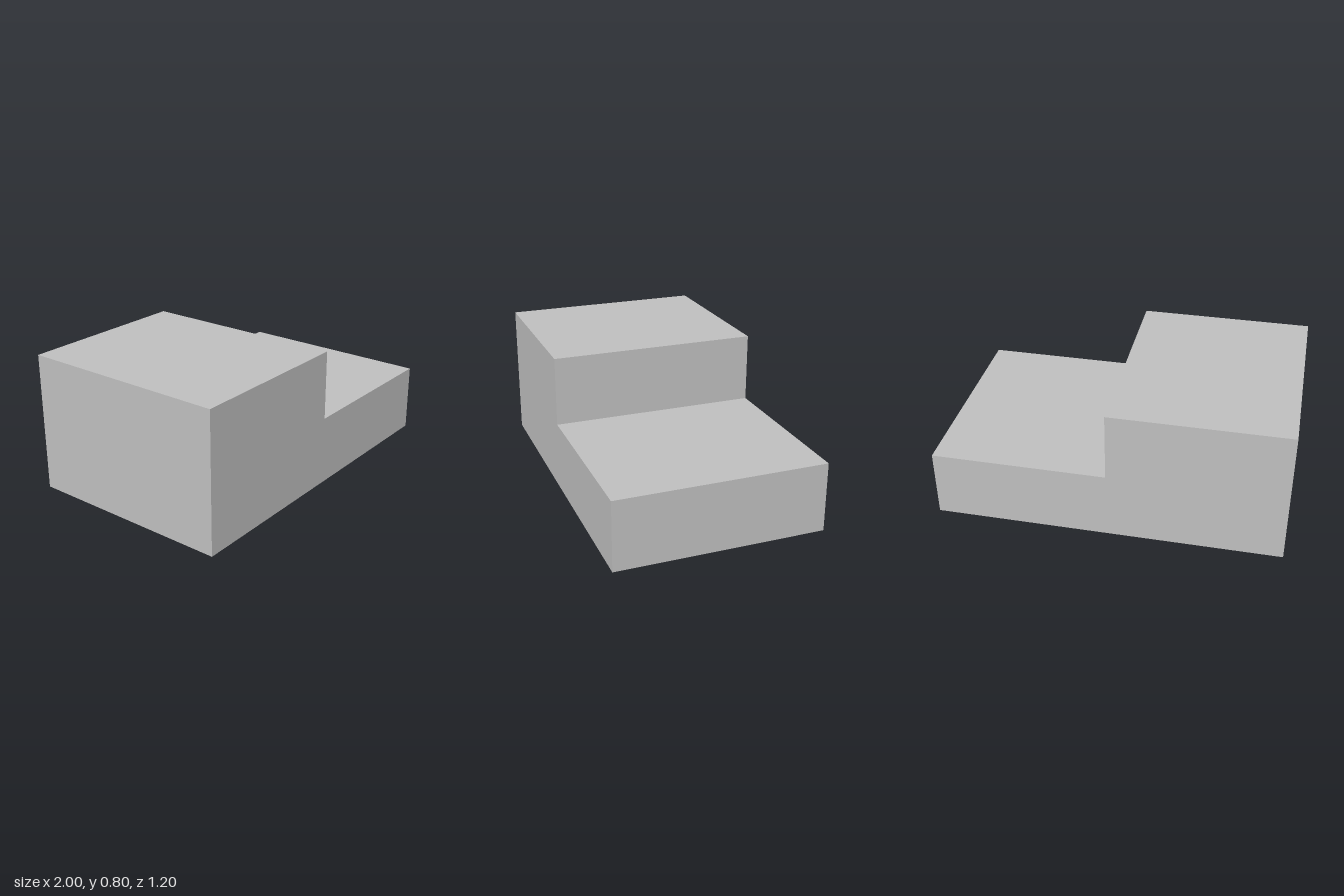
import * as THREE from 'three';

export function createModel() {
  const group = new THREE.Group();
  group.name = 'steps';
  const grey = new THREE.MeshStandardMaterial({ color: 0xbfbfbf });
  grey.name = 'light grey';

  // L-shaped side profile: high step on -x, low step on +x
  const width = 1.2;
  const profile = new THREE.Shape([
    [-1, 0], [1, 0], [1, 0.4], [0, 0.4], [0, 0.8], [-1, 0.8],
  ].map(([x, y]) => new THREE.Vector2(x, y)));

  // Profile extruded through the depth and centred on z
  const geometry = new THREE.ExtrudeGeometry(profile, { depth: width, bevelEnabled: false });
  geometry.translate(0, 0, -width / 2);

  const block = new THREE.Mesh(geometry, grey);
  block.name = 'steppedBlock';
  group.add(block);
  return group;
}
